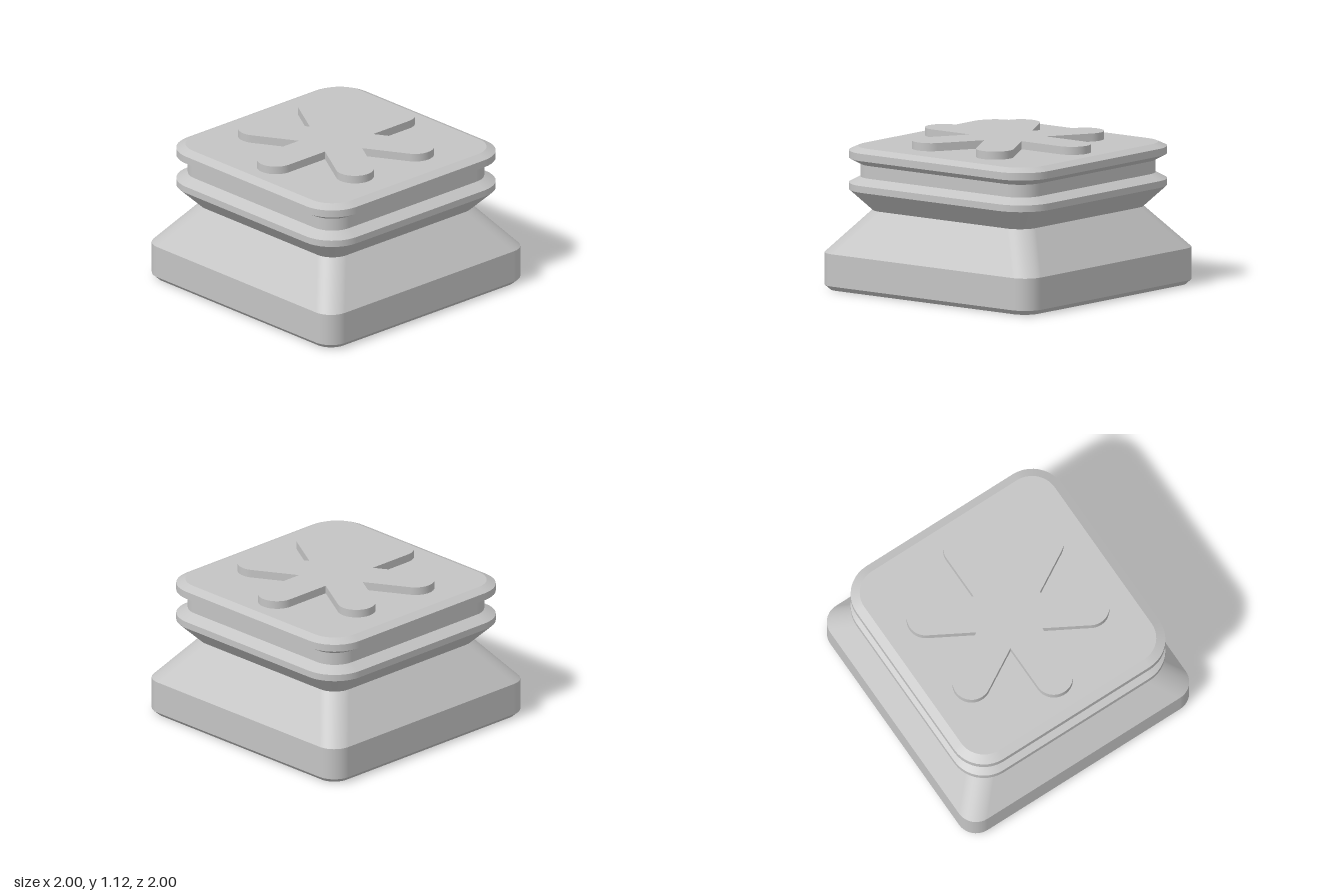
import * as THREE from 'three';
import { toCreasedNormals } from 'three/addons/utils/BufferGeometryUtils.js';

const SEG = 10; // segments per rounded corner

// Lofts rounded squares [y, half width, corner radius]; each band keeps hard upper and lower edges
function loftRoundedSquares(profile) {
  const pos = [], nor = [], idx = [];
  const n = 4 * (SEG + 1);
  for (let k = 0; k < profile.length - 1; k++) {
    const [y0, h0, r0] = profile[k], [y1, h1, r1] = profile[k + 1];
    const dy = y1 - y0, dc = (h1 - r1) - (h0 - r0), dr = r1 - r0;
    const start = pos.length / 3;
    for (const [y, h, r] of [profile[k], profile[k + 1]]) {
      for (let q = 0; q < 4; q++) {
        const mid = (q + 0.5) * Math.PI / 2;
        const sx = Math.sign(Math.cos(mid)), sz = Math.sign(Math.sin(mid));
        for (let s = 0; s <= SEG; s++) {
          const t = (q + s / SEG) * Math.PI / 2, cx = Math.cos(t), cz = Math.sin(t);
          pos.push(sx * (h - r) + cx * r, y, sz * (h - r) + cz * r);
          const v = new THREE.Vector3(cx * dy, -(dc * (sx * cx + sz * cz) + dr), cz * dy).normalize();
          nor.push(v.x, v.y, v.z);
        }
      }
    }
    for (let i = 0; i < n; i++) {
      const a = start + i, b = start + (i + 1) % n;
      idx.push(a, a + n, b, b, a + n, b + n);
    }
  }
  const g = new THREE.BufferGeometry();
  g.setAttribute('position', new THREE.Float32BufferAttribute(pos, 3));
  g.setAttribute('normal', new THREE.Float32BufferAttribute(nor, 3));
  g.setIndex(idx);
  return g;
}

export function createModel() {
  const group = new THREE.Group();
  const grey = new THREE.MeshStandardMaterial({ color: 0xc4c4c4 });
  grey.name = 'light grey';
  const add = (name, geometry) => {
    const mesh = new THREE.Mesh(geometry, grey);
    mesh.name = name;
    group.add(mesh);
  };

  // Base block tapering to the waist
  add('base', loftRoundedSquares([
    [0, 0, 0], [0, 0.965, 0.13], [0.035, 1, 0.15], [0.275, 1, 0.15], [0.585, 0.75, 0.15],
  ]));

  // Flared head with two flanges and a groove between them
  add('head', loftRoundedSquares([
    [0.585, 0.75, 0.15], [0.74, 0.905, 0.26], [0.79, 0.905, 0.26], [0.835, 0.822, 0.18],
    [0.93, 0.822, 0.18], [0.975, 0.905, 0.26], [1.03, 0.905, 0.26], [1.06, 0.84, 0.2], [1.06, 0, 0],
  ]));

  // Raised six-armed star with round arm ends
  const shape = new THREE.Shape();
  const w = 0.14, reach = 0.605;
  for (let k = 0; k < 6; k++) {
    const a = Math.PI / 6 + k * Math.PI / 3, notch = a + Math.PI / 6;
    shape.absarc(reach * Math.cos(a), reach * Math.sin(a), w, a - Math.PI / 2, a + Math.PI / 2, false);
    shape.lineTo(2 * w * Math.cos(notch), 2 * w * Math.sin(notch));
  }
  const star = new THREE.ExtrudeGeometry(shape, { depth: 0.08, bevelEnabled: false, curveSegments: 16 });
  star.rotateX(-Math.PI / 2).translate(0, 1.04, 0);
  add('star', toCreasedNormals(star, 0.5));

  return group;
}
